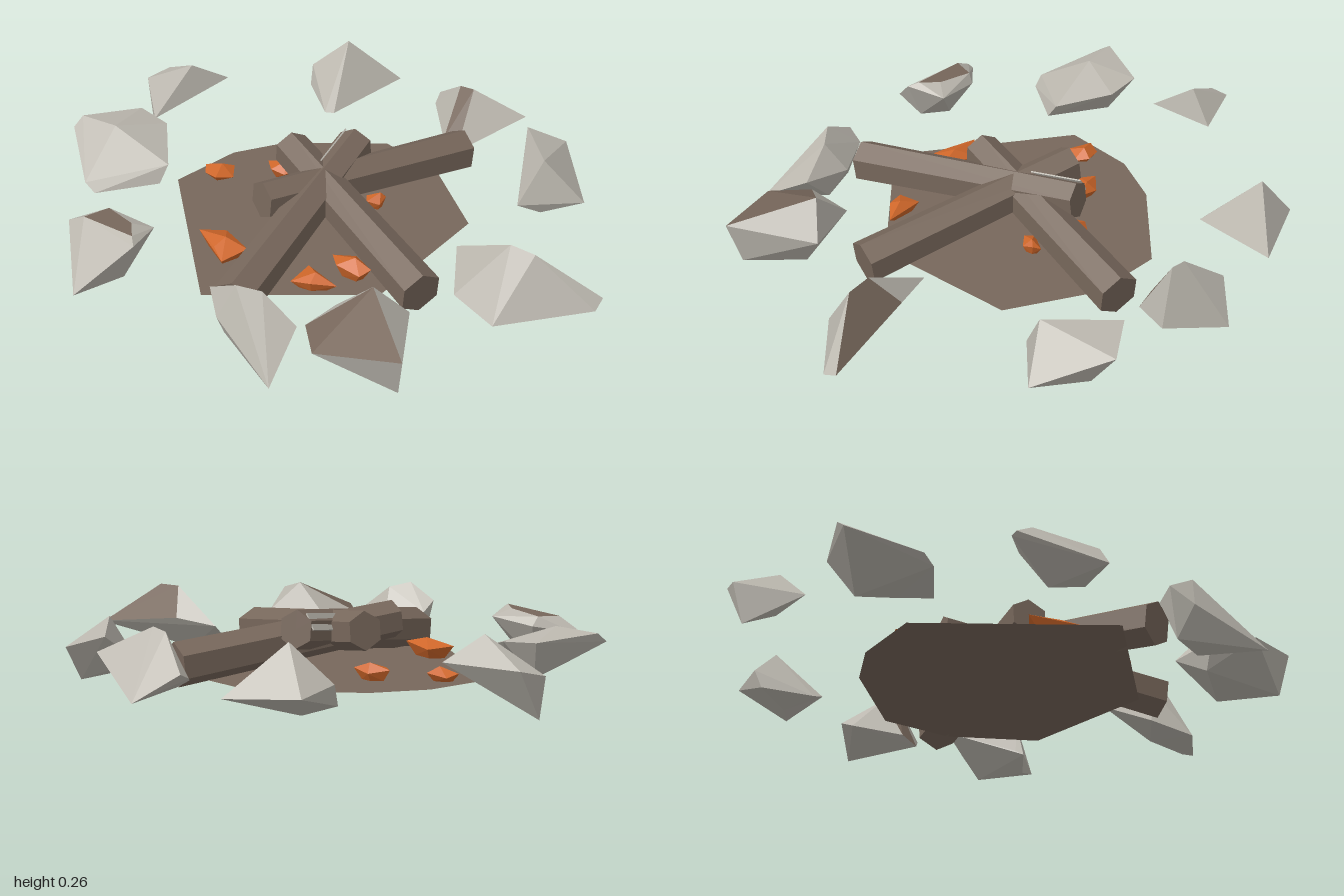
import * as THREE from 'three';
import { ConvexGeometry } from 'three/addons/geometries/ConvexGeometry.js';

const material = (name, color, extra = {}) =>
  Object.assign(new THREE.MeshStandardMaterial({ color, ...extra }), { name });

export function createModel() {
  const group = new THREE.Group();
  const stone = material('stone grey', 0xbab6ad);
  const wood = material('wood brown', 0x77675b);
  const earth = material('earth brown', 0x77675b, { side: THREE.DoubleSide });
  const ember = material('ember orange', 0xce6629);

  const add = (name, geometry, mat, parent = group) => {
    const mesh = new THREE.Mesh(geometry, mat);
    mesh.name = name;
    parent.add(mesh);
    return mesh;
  };
  const vec = (p) => new THREE.Vector3(...p);

  // flat patch of scorched earth
  const patch = new THREE.Shape([
    [-0.1, -0.48], [0.15, -0.42], [0.4, -0.21], [0.36, 0.29],
    [-0.12, 0.61], [-0.59, 0.13], [-0.53, -0.12], [-0.41, -0.28],
  ].map(([x, z]) => new THREE.Vector2(x, -z)));
  add('earthPatch', new THREE.ShapeGeometry(patch).rotateX(-Math.PI / 2).translate(0, 0.03, 0), earth);

  // six-sided logs leaning on each other in the middle
  const addLog = (outer, inner) => {
    const a = vec(outer), b = vec(inner), length = a.distanceTo(b);
    const geometry = new THREE.CylinderGeometry(0.066, 0.076, length, 6).rotateX(Math.PI / 2).toNonIndexed();
    geometry.computeVertexNormals();
    const log = add('log', geometry, wood);
    log.position.copy(a).add(b).multiplyScalar(0.5);
    log.lookAt(b);
    return { log, length };
  };
  addLog([0.19, 0.09, -0.52], [-0.14, 0.18, 0.24]);
  addLog([0.5, 0.085, 0.27], [-0.24, 0.185, -0.07]);
  const { log, length } = addLog([0.03, 0.085, 0.63], [-0.06, 0.19, -0.21]);

  // ash covered facet near the raised end of the last log
  const ash = add('ashFacet', new THREE.BoxGeometry(0.005, 0.062, 0.22), stone, log);
  ash.rotation.z = Math.PI / 6;
  const reach = 0.0585;
  ash.position.set(reach * Math.cos(Math.PI / 6), reach * Math.sin(Math.PI / 6), length / 2 - 0.112);

  // embers: a chip with a wide upper rim and a narrower base
  const addEmber = (y, rim) => {
    const cx = rim.reduce((s, p) => s + p[0], 0) / rim.length;
    const cz = rim.reduce((s, p) => s + p[1], 0) / rim.length;
    const points = [new THREE.Vector3(cx + 0.01, y + 0.02, cz - 0.01)];
    rim.forEach(([x, z], i) => {
      points.push(new THREE.Vector3(x, y - 0.012 * (i % 2), z));
      points.push(new THREE.Vector3(cx + (x - cx) * 0.6, 0.032, cz + (z - cz) * 0.6));
    });
    add('ember', new ConvexGeometry(points), ember);
  };
  addEmber(0.06, [[-0.54, 0.03], [-0.52, -0.01], [-0.45, -0.02], [-0.42, 0.03], [-0.46, 0.08], [-0.52, 0.06]]);
  addEmber(0.07, [[-0.36, -0.1], [-0.3, -0.14], [-0.23, -0.12], [-0.27, -0.07], [-0.32, -0.06]]);
  addEmber(0.08, [[-0.3, 0.38], [-0.23, 0.32], [-0.1, 0.38], [-0.14, 0.47], [-0.2, 0.43]]);
  addEmber(0.08, [[0.15, 0.25], [0.21, 0.2], [0.3, 0.25], [0.28, 0.29], [0.19, 0.29]]);
  addEmber(0.07, [[0.11, 0.33], [0.24, 0.36], [0.17, 0.41], [0.1, 0.42]]);
  addEmber(0.07, [[0.05, -0.11], [0.09, -0.16], [0.11, -0.14], [0.11, -0.1], [0.07, -0.08]]);
  addEmber(0.07, [[-0.11, -0.21], [-0.08, -0.24], [-0.04, -0.21], [-0.05, -0.15], [-0.1, -0.17]]);

  // ring stones: a hull of corner points, with facets near given directions soiled brown
  const addStone = (corners, soiled = []) => {
    const geometry = new ConvexGeometry(corners.map(vec));
    const normals = geometry.attributes.normal;
    const directions = soiled.map((d) => vec(d).normalize());
    for (let i = 0; i < normals.count; i += 3) {
      const n = new THREE.Vector3().fromBufferAttribute(normals, i);
      geometry.addGroup(i, 3, directions.some((d) => d.dot(n) > 0.93) ? 1 : 0);
    }
    add('ringStone', geometry, [stone, wood]);
  };
  // back stones
  addStone([
    [-0.42, 0.25, -0.71], [-0.52, 0.1, -0.78], [-0.26, 0.08, -0.83], [-0.36, 0.05, -0.52],
    [-0.4, 0.04, -0.52], [-0.54, 0.06, -0.63], [-0.55, 0.13, -0.66], [-0.42, 0.02, -0.65],
  ]);
  addStone([
    [-0.05, 0.12, -0.77], [0.07, 0.03, -0.86], [0.32, 0.15, -0.75], [0.14, 0.03, -0.57],
    [0.08, 0.06, -0.58], [-0.04, 0.1, -0.72], [0.08, 0.23, -0.69], [0.14, 0.24, -0.68],
  ], [[0, 0.5, 0.85]]);
  addStone([
    [0.38, 0.18, -0.65], [0.51, 0.14, -0.7], [0.69, 0.06, -0.5], [0.5, 0.05, -0.37],
    [0.49, 0.07, -0.4], [0.55, 0.21, -0.45], [0.52, 0.02, -0.62], [0.56, 0.01, -0.43],
  ]);
  // left stone
  addStone([
    [0.49, 0.12, 0.03], [0.65, 0.14, 0], [1, 0.1, -0.01], [1, 0.08, 0.04], [0.74, 0.03, 0.23],
    [0.57, 0.05, 0.18], [0.8, 0.245, 0.085], [0.71, 0.245, 0.08], [0.66, 0.02, 0.1],
  ], [[0.2, 0.63, -0.75]]);
  // front stones
  addStone([
    [0.32, 0.1, 0.48], [0.55, 0.13, 0.42], [0.69, 0.18, 0.69], [0.41, 0.13, 0.75], [0.46, 0.235, 0.49],
    [0.66, 0.03, 0.66], [0.33, 0.03, 0.6], [0.31, 0.12, 0.64], [0.52, 0.01, 0.5],
  ], [[-0.09, 0.94, 0.34]]);
  addStone([
    [0, 0.18, 0.71], [0.01, 0.14, 0.66], [0.15, 0.12, 0.61], [0.3, 0.13, 0.67], [0.32, 0.02, 0.85],
    [0.06, 0.12, 0.76], [0.11, 0.24, 0.72], [0.18, 0.22, 0.68], [0.04, 0.01, 0.7], [0.2, 0.02, 0.66],
  ]);
  addStone([
    [-0.64, 0.13, 0.62], [-0.64, 0.14, 0.64], [-0.52, 0.15, 0.54], [-0.35, 0.17, 0.55], [-0.32, 0.19, 0.69],
    [-0.46, 0.03, 0.84], [-0.57, 0.18, 0.64], [-0.53, 0.184, 0.56], [-0.4, 0.197, 0.6], [-0.35, 0.202, 0.66],
    [-0.48, 0.02, 0.62], [-0.38, 0.04, 0.68],
  ], [[-0.1, 1, 0]]);
  // right stones
  addStone([
    [-0.95, 0.21, 0.2], [-0.96, 0.18, 0.24], [-0.83, 0.19, 0.02], [-0.7, 0.18, 0.04], [-0.57, 0.14, 0.2],
    [-0.58, 0.08, 0.24], [-0.74, 0.07, 0.4], [-0.78, 0.1, 0.4], [-0.8, 0.22, 0.2], [-0.7, 0.05, 0.2],
    [-0.78, 0.06, 0.1],
  ]);
  addStone([
    [-1, 0.14, -0.22], [-0.96, 0.16, -0.3], [-0.97, 0, -0.2], [-0.72, 0.17, -0.35],
    [-0.84, 0.1, -0.06], [-0.8, 0.25, -0.24],
  ], [[0.6, -0.6, 0.5]]);

  return group;
}
